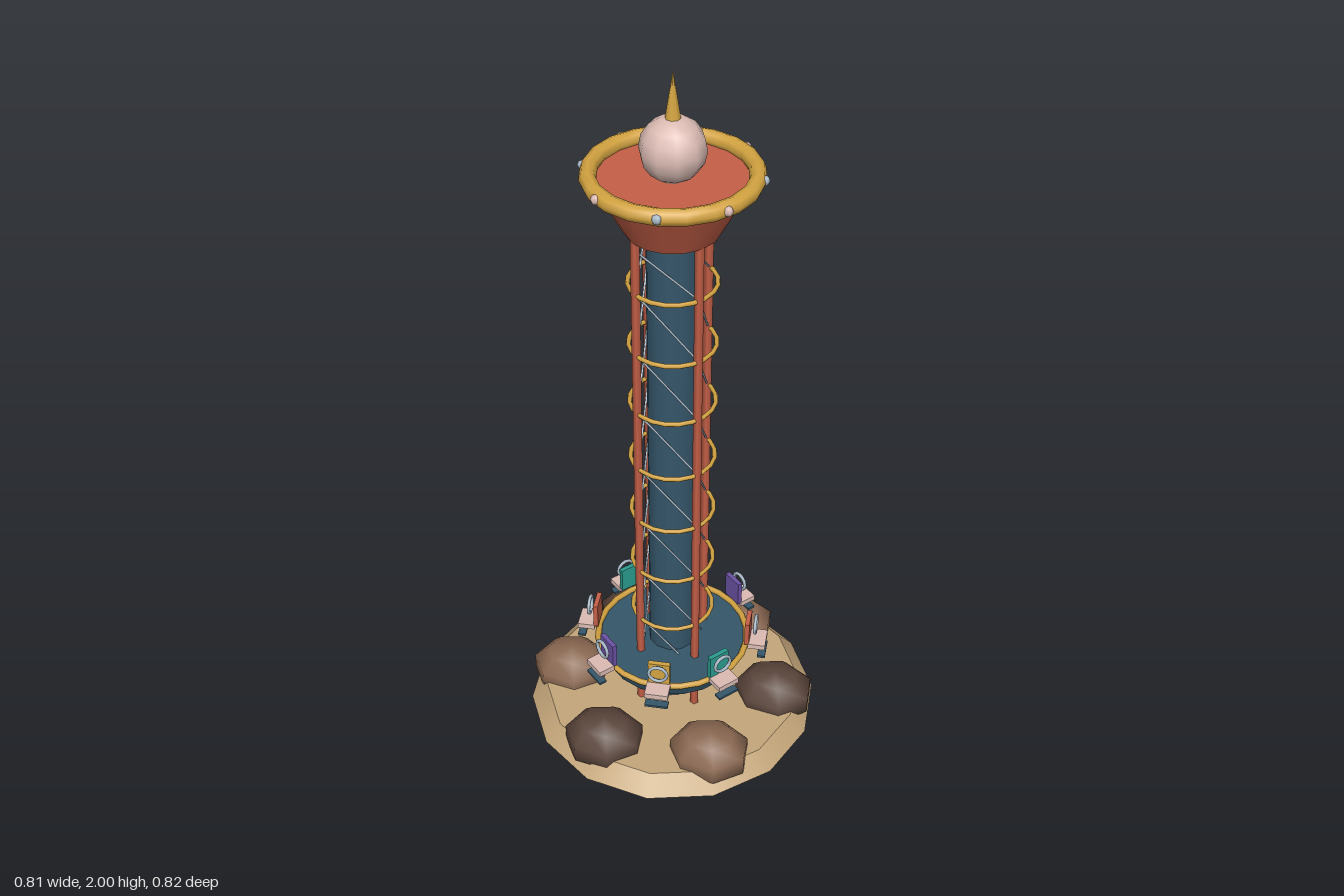
import * as THREE from 'three';

const mat = (name, color) => Object.assign(new THREE.MeshStandardMaterial({ color }), { name });
const M = {
  gold: mat('gold', 0xd4a441),
  red: mat('brick red', 0xc45f47),
  pink: mat('pale pink', 0xdcbcb4),
  blue: mat('slate blue', 0x35566a),
  sand: mat('sand', 0xc4a67a),
  rockLight: mat('light rock', 0x8a6851),
  rockDark: mat('dark rock', 0x5a453b),
  steel: mat('pale steel', 0xa9bac8),
  teal: mat('teal', 0x2a9d8f),
  purple: mat('purple', 0x6a51a3),
};

function add(parent, name, geometry, material, x = 0, y = 0, z = 0) {
  const mesh = new THREE.Mesh(geometry, material);
  mesh.name = name;
  mesh.position.set(x, y, z);
  parent.add(mesh);
  return mesh;
}

const ring = (radius, tube, tubeSides, sides) =>
  new THREE.TorusGeometry(radius, tube, tubeSides, sides).rotateX(Math.PI / 2);

// Thin rod between two points
function rod(parent, name, a, b, radius, material) {
  const dir = b.clone().sub(a);
  const mesh = add(parent, name, new THREE.CylinderGeometry(radius, radius, dir.length(), 5), material);
  mesh.position.copy(a).add(b).multiplyScalar(0.5);
  mesh.quaternion.setFromUnitVectors(new THREE.Vector3(0, 1, 0), dir.normalize());
}

function makeBase() {
  const g = new THREE.Group();
  g.name = 'base';
  add(g, 'mound', new THREE.CylinderGeometry(0.362, 0.408, 0.05, 14), M.sand, 0, 0.055, 0);
  const rock = new THREE.SphereGeometry(0.117, 7, 5).scale(1, 0.7, 0.85);
  for (let i = 0; i < 6; i++) {
    const a = i * Math.PI / 3;
    add(g, 'rock', rock, i % 2 ? M.rockLight : M.rockDark, Math.cos(a) * 0.296, 0.082, Math.sin(a) * 0.296);
  }
  return g;
}

function makeTower() {
  const g = new THREE.Group();
  g.name = 'tower';
  add(g, 'core', new THREE.CylinderGeometry(0.066, 0.066, 1.54, 12), M.blue, 0, 0.85, 0);

  const corner = (i, y) => {
    const a = Math.PI / 4 + i * Math.PI / 2;
    return new THREE.Vector3(Math.cos(a) * 0.108, y, Math.sin(a) * 0.108);
  };
  for (let i = 0; i < 4; i++) rod(g, 'post', corner(i, 0.08), corner(i, 1.61), 0.012, M.red);

  // Hoops, with one diagonal brace per side above each
  const hoop = ring(0.11, 0.006, 6, 20);
  const step = 0.177;
  for (let k = 0; k < 8; k++) {
    const y = 0.21 + k * step;
    add(g, 'hoop', hoop, M.gold, 0, y, 0);
    const top = Math.min(y + step, 1.57);
    for (let i = 0; i < 4; i++) rod(g, 'brace', corner(i, y), corner(i + 1, top), 0.003, M.steel);
  }
  return g;
}

function makeCrown() {
  const g = new THREE.Group();
  g.name = 'crown';
  add(g, 'flaredCap', new THREE.CylinderGeometry(0.19, 0.117, 0.135, 16), M.red, 0, 1.662, 0);
  add(g, 'crownRim', ring(0.198, 0.021, 8, 20), M.gold, 0, 1.74, 0);
  const bulb = new THREE.SphereGeometry(0.013, 6, 4);
  for (let i = 0; i < 8; i++) {
    const a = i * Math.PI / 4;
    add(g, 'light', bulb, i % 2 ? M.pink : M.steel, Math.cos(a) * 0.213, 1.742, Math.sin(a) * 0.213);
  }
  add(g, 'globe', new THREE.SphereGeometry(0.081, 10, 8), M.pink, 0, 1.805, 0);
  add(g, 'spire', new THREE.ConeGeometry(0.019, 0.12, 8), M.gold, 0, 1.94, 0);
  return g;
}

// One seat facing +z, placed at its radius from the tower axis
function makeSeat(backMaterial) {
  const g = new THREE.Group();
  g.name = 'seat';
  add(g, 'cushion', new THREE.BoxGeometry(0.065, 0.016, 0.048), M.pink, 0, 0.281, 0.243);
  add(g, 'backrest', new THREE.BoxGeometry(0.06, 0.075, 0.013), backMaterial, 0, 0.322, 0.215);
  add(g, 'restraint', new THREE.TorusGeometry(0.025, 0.005, 6, 12), M.steel, 0, 0.338, 0.236);
  add(g, 'footrest', new THREE.BoxGeometry(0.064, 0.007, 0.022), M.blue, 0, 0.245, 0.257);
  return g;
}

function makeCarriage() {
  const g = new THREE.Group();
  g.name = 'carriage';
  add(g, 'deck', new THREE.CylinderGeometry(0.21, 0.192, 0.048, 20), M.blue, 0, 0.24, 0);
  add(g, 'deckRim', ring(0.211, 0.009, 6, 24), M.gold, 0, 0.268, 0);
  const backs = [M.gold, M.teal, M.red, M.purple];
  for (let i = 0; i < 8; i++) {
    const seat = makeSeat(backs[i % 4]);
    seat.rotation.y = i * Math.PI / 4;
    g.add(seat);
  }
  return g;
}

export function createModel() {
  const model = new THREE.Group();
  model.name = 'dropTower';
  model.add(makeBase(), makeTower(), makeCrown(), makeCarriage());
  return model;
}
